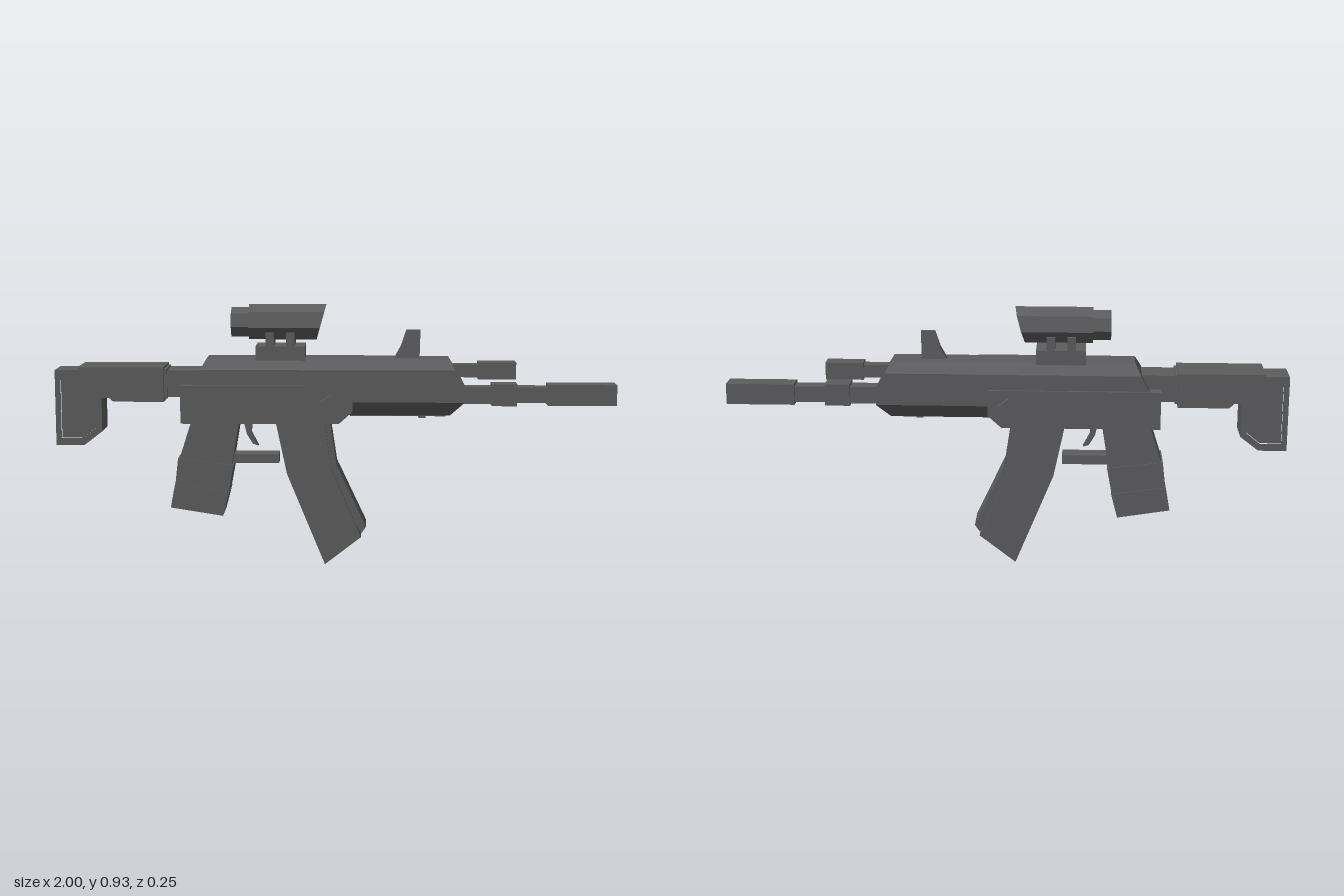
import * as THREE from 'three';

export function createModel() {
  const group = new THREE.Group();
  const gunmetal = new THREE.MeshStandardMaterial({ color: 0x5c5c5e });
  gunmetal.name = 'gunmetal';

  const toPoints = (list) => list.map(([a, b]) => new THREE.Vector2(a, b));
  const makeShape = (outline, hole) => {
    const shape = new THREE.Shape(toPoints(outline));
    if (hole) shape.holes.push(new THREE.Path(toPoints(hole)));
    return shape;
  };
  const add = (name, geometry) => {
    const mesh = new THREE.Mesh(geometry, gunmetal);
    mesh.name = name;
    group.add(mesh);
    return mesh;
  };

  // Side profile [x, y], extruded symmetrically to a half width in z
  const plate = (name, outline, halfZ, hole) => {
    const g = new THREE.ExtrudeGeometry(makeShape(outline, hole), { depth: halfZ * 2, bevelEnabled: false });
    g.translate(0, 0, -halfZ);
    return add(name, g);
  };

  // Cross-section [z, y], extruded from x0 to x1; move(x, y) may slant the ends
  const bar = (name, outline, x0, x1, hole, move) => {
    const g = new THREE.ExtrudeGeometry(makeShape(outline, hole), { depth: x1 - x0, bevelEnabled: false });
    g.rotateY(Math.PI / 2).translate(x0, 0, 0);
    if (move) {
      const p = g.attributes.position;
      for (let i = 0; i < p.count; i++) p.setX(i, move(p.getX(i), p.getY(i)));
      g.computeVertexNormals();
    }
    return add(name, g);
  };

  const box = (name, x0, x1, y0, y1, halfZ) => {
    const g = new THREE.BoxGeometry(x1 - x0, y1 - y0, halfZ * 2);
    g.translate((x0 + x1) / 2, (y0 + y1) / 2, 0);
    return add(name, g);
  };
  const rect = (w, y0, y1) => [[-w, y0], [w, y0], [w, y1], [-w, y1]];
  const ngon = (n, r, cy) => Array.from({ length: n }, (_, i) => {
    const a = (i / n) * Math.PI * 2;
    return [Math.sin(a) * r, cy + Math.cos(a) * r];
  });

  // Upper receiver and handguard: chamfered hulls with sloped ends
  const upperHalf = (w, top) => [[-w, 0.65], [w, 0.65], [w, 0.705], [0.055, top], [-0.055, top], [-w, 0.705]];
  const lowerHalf = (w) => [[-w, 0.65], [-w, 0.59], [-0.06, 0.54], [0.06, 0.54], [w, 0.59], [w, 0.65]];
  bar('upperReceiver', upperHalf(0.097, 0.742), -0.51, 0.1, null,
    (x, y) => (x < 0 ? x + (y - 0.65) * 0.55 : x));
  bar('receiverCore', lowerHalf(0.097), -0.51, 0.1);
  bar('handguardTop', upperHalf(0.094, 0.74), 0.1, 0.455, null,
    (x, y) => (x > 0.3 ? x - (y - 0.65) * 0.6 : x));
  bar('handguardBottom', lowerHalf(0.094), 0.1, 0.455, null,
    (x, y) => (x > 0.3 && y < 0.56 ? x - 0.05 : x));
  box('handguardRail', 0.05, 0.39, 0.533, 0.56, 0.035);
  box('railStud', 0.295, 0.32, 0.524, 0.54, 0.015);

  // Lower receiver with pentagonal pivot bolt
  plate('lowerReceiver', [[-0.55, 0.515], [0.01, 0.515], [0.058, 0.558], [0.058, 0.65], [-0.55, 0.65]], 0.107);
  plate('pivotBolt', ngon(5, 0.041, 0.583).map(([x, y]) => [x - 0.015, y]), 0.125);

  // Stock
  box('stockTube', -0.61, -0.48, 0.605, 0.7, 0.062);
  box('stockCollar', -0.615, -0.6, 0.6, 0.705, 0.07);
  plate('stockBody', [[-0.915, 0.712], [-0.61, 0.712], [-0.61, 0.59], [-0.79, 0.59]], 0.084);
  const butt = [[-1, 0.7], [-0.91, 0.7], [-0.79, 0.6], [-0.835, 0.6], [-0.835, 0.48], [-0.9, 0.43], [-1, 0.43]];
  const recess = [[-0.98, 0.665], [-0.915, 0.665], [-0.855, 0.61], [-0.855, 0.495], [-0.905, 0.455], [-0.98, 0.455]];
  plate('buttFrame', butt, 0.062, recess);
  plate('buttPanel', recess, 0.052);

  // Grip in three stepped sections
  plate('gripTop', [[-0.515, 0.52], [-0.345, 0.52], [-0.372, 0.36], [-0.56, 0.38]], 0.072);
  plate('gripMiddle', [[-0.564, 0.385], [-0.366, 0.36], [-0.384, 0.265], [-0.575, 0.29]], 0.076);
  plate('gripBottom', [[-0.576, 0.292], [-0.382, 0.265], [-0.405, 0.177], [-0.592, 0.207]], 0.08);

  // Trigger and guard
  plate('trigger', [[-0.335, 0.52], [-0.3, 0.52], [-0.305, 0.47], [-0.28, 0.422], [-0.3, 0.428], [-0.322, 0.465]], 0.014);
  box('triggerGuard', -0.375, -0.205, 0.362, 0.395, 0.035);

  // Curved magazine with front spine
  plate('magazine', [[-0.215, 0.52], [-0.04, 0.52], [-0.018, 0.35], [0.09, 0.1], [-0.04, 0], [-0.175, 0.33]].map(
    ([x, y]) => [x, y]), 0.078);
  plate('magazineSpine', [[-0.06, 0.52], [-0.022, 0.52], [0.002, 0.36], [0.108, 0.135], [0.09, 0.11], [-0.03, 0.33]], 0.064);

  // Barrel, muzzle and gas tube
  box('barrelRear', 0.44, 0.56, 0.577, 0.638, 0.031);
  box('barrelCollar', 0.555, 0.645, 0.57, 0.648, 0.038);
  box('barrelFront', 0.64, 0.76, 0.58, 0.637, 0.029);
  bar('muzzle', rect(0.037, 0.571, 0.646), 0.755, 1, rect(0.024, 0.584, 0.633));
  box('muzzleCore', 0.76, 0.94, 0.582, 0.635, 0.026);
  box('gasTube', 0.4, 0.52, 0.672, 0.718, 0.023);
  bar('gasCap', rect(0.031, 0.665, 0.726), 0.505, 0.64, rect(0.02, 0.676, 0.715));
  box('gasCapCore', 0.51, 0.6, 0.674, 0.717, 0.022);

  // Front sight blade, thinner toward the top
  const sight = plate('frontSight', [[0.205, 0.735], [0.297, 0.735], [0.3, 0.84], [0.25, 0.84], [0.232, 0.785]], 0.014);
  const sp = sight.geometry.attributes.position;
  for (let i = 0; i < sp.count; i++) sp.setZ(i, sp.getZ(i) * (1 - (sp.getY(i) - 0.735) * 5));
  sight.geometry.computeVertexNormals();

  // Optic: base, two mounts and a hollow seven-sided tube
  box('opticBase', -0.285, -0.11, 0.735, 0.786, 0.065);
  for (const x of [-0.235, -0.162]) {
    for (const side of [-1, 1]) {
      const mount = add('opticMount', new THREE.BoxGeometry(0.03, 0.05, 0.05));
      mount.position.set(x, 0.808, side * 0.04);
    }
    box('opticMountCore', x - 0.015, x + 0.015, 0.78, 0.812, 0.03);
  }
  bar('opticTube', ngon(7, 0.065, 0.866), -0.31, -0.035, ngon(7, 0.048, 0.866),
    (x, y) => (x > -0.1 ? x + (y - 0.931) * 0.28 : x));
  bar('opticEyepiece', ngon(7, 0.054, 0.866), -0.373, -0.3, ngon(7, 0.044, 0.866));
  return group;
}
